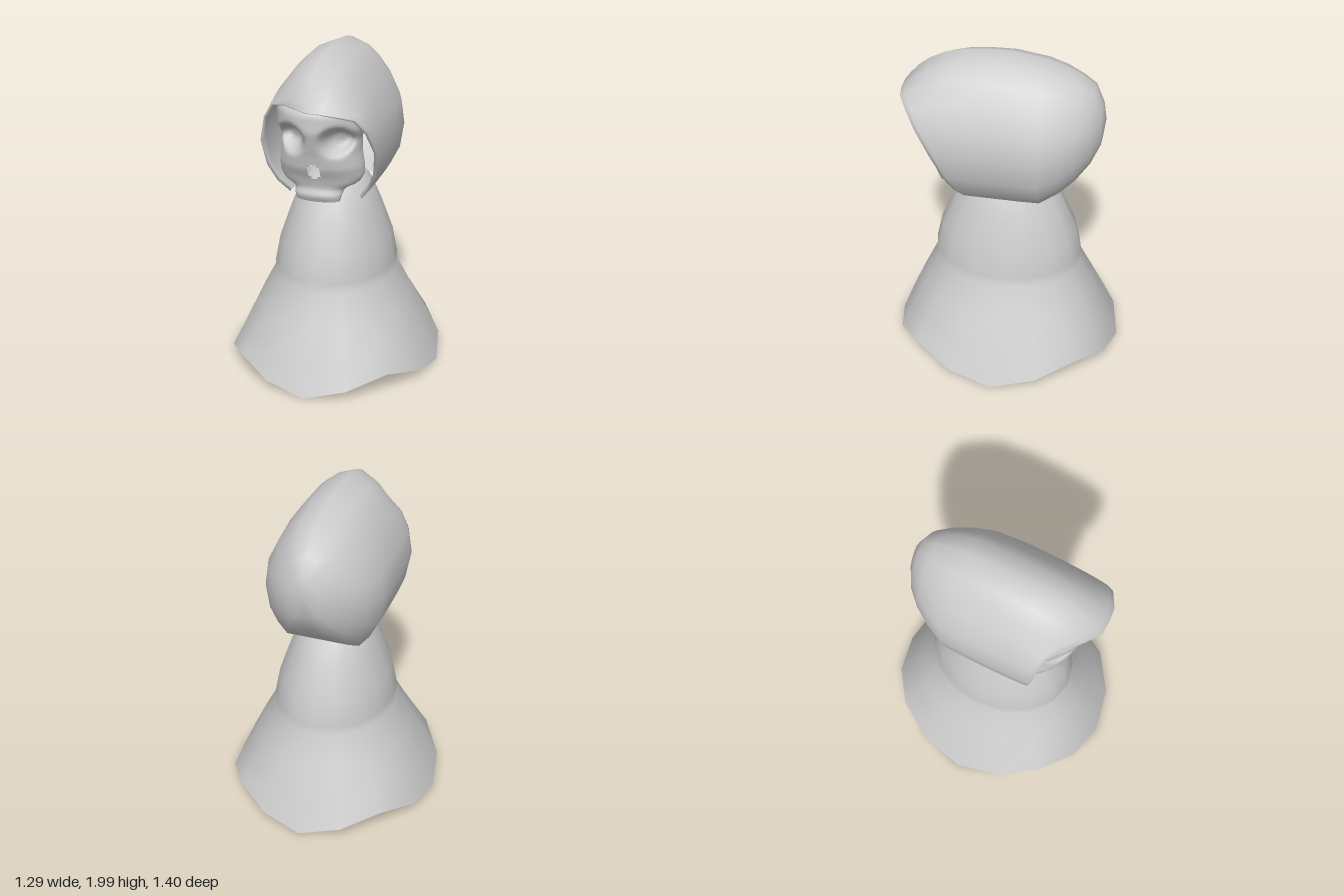
import * as THREE from 'three';
import { mergeVertices } from 'three/addons/utils/BufferGeometryUtils.js';

const lerp = THREE.MathUtils.lerp;

// Skins a grid of points; rows run across the columns, skip(row, column) leaves openings.
function skin(name, rows, closed, skip = () => false) {
  const n = rows[0].length, index = [];
  for (let i = 0; i < rows.length - 1; i++) {
    for (let j = 0; j < (closed ? n : n - 1); j++) {
      if (skip(i, j)) continue;
      const a = i * n + j, b = i * n + (j + 1) % n;
      index.push(a, b, b + n, a, b + n, a + n);
    }
  }
  let geo = new THREE.BufferGeometry();
  geo.setAttribute('position', new THREE.Float32BufferAttribute(rows.flat(2), 3));
  geo.setIndex(index);
  geo = mergeVertices(geo, 1e-4);
  geo.computeVertexNormals();
  const mesh = new THREE.Mesh(geo, new THREE.MeshStandardMaterial({ color: 0xcccccc, side: THREE.DoubleSide }));
  mesh.name = name;
  return mesh;
}

// Reads a table of [key, ...values] at any key.
function sample(table, key) {
  let k = 0;
  while (k < table.length - 2 && table[k + 1][0] < key) k++;
  const f = (key - table[k][0]) / (table[k + 1][0] - table[k][0]);
  return table[k].map((v, c) => lerp(v, table[k + 1][c], f));
}

// Sixteen-sided robe with a scalloped hem and a step at the waist
function makeRobe() {
  const profile = [ // y, half width, half depth
    [0.005, 0.645, 0.70], [0.2, 0.56, 0.625], [0.4, 0.465, 0.54], [0.58, 0.37, 0.455],
    [0.64, 0.365, 0.455], [0.8, 0.335, 0.42], [1.0, 0.265, 0.335], [1.14, 0.21, 0.25],
    [1.21, 0.15, 0.18], [1.24, 0, 0]];
  const rows = profile.map(([y, rx, rz], i) => Array.from({ length: 16 }, (_, j) => {
    const a = j * Math.PI / 8;
    const scallop = [0, 0.055, 0.125, 0.055][j % 4] * [1, 0.5, 0.1][i] || 0;
    return [rx * Math.sin(a), y + scallop, rz * Math.cos(a)];
  }));
  return skin('robe', rows, true);
}

// Hood: rings grow from the back pole, then an arch runs forward to a slanted rim
function makeHood() {
  const arch = [ // body x, y, rim x, y, z on the left, z on the right
    [0, 2.0, 0, 1.75, 0.615, 0.615], [0.12, 1.95, 0.09, 1.748, 0.615, 0.55],
    [0.195, 1.88, 0.17, 1.74, 0.605, 0.475], [0.275, 1.77, 0.27, 1.71, 0.55, 0.40],
    [0.345, 1.62, 0.325, 1.62, 0.49, 0.375], [0.365, 1.47, 0.355, 1.47, 0.40, 0.355],
    [0.34, 1.31, 0.33, 1.31, 0.33, 0.32], [0.285, 1.2, 0.28, 1.2, 0.28, 0.28],
    [0.22, 1.12, 0.22, 1.12, 0.23, 0.23]];
  const left = arch.map(([x, y, rx, ry, z]) => [x, y, rx, ry, z]);
  const right = arch.map(([x, y, rx, ry, , z]) => [-x, y, -rx, ry, z]);
  const floor = [-0.08, 0.08].map(x => [x, 1.12, x, 1.12, -0.2]);
  const columns = [...left.reverse(), ...right.slice(1), ...floor];
  const back = [ // z, width factor, top, bottom
    [-0.57, 0, 1.62, 1.62], [-0.55, 0.25, 1.73, 1.47], [-0.5, 0.5, 1.84, 1.37],
    [-0.42, 0.71, 1.89, 1.27], [-0.33, 0.86, 1.935, 1.19], [-0.22, 0.98, 1.97, 1.12]];
  const rows = back.map(([z, w, top, bottom]) => columns.map(([x, y]) =>
    [x * w, lerp(bottom, top, (y - 1.12) / 0.88), z]));
  // Outer arch, then the lining turned back inside the rim
  const steps = [[0.25, 1], [0.45, 1], [0.6, 1], [0.72, 1], [0.82, 1], [0.9, 1], [0.96, 1], [1, 1],
    [0.995, 0.95], [0.9, 0.95], [0.75, 0.95], [0.5, 0.95], [0.2, 0.95]];
  for (const [t, inset] of steps) {
    rows.push(columns.map(([x, y, rx, ry, rz]) => {
      const f = t ** 5;
      return [lerp(x, rx, f) * inset, 1.5 + (lerp(y, ry, f) - 1.5) * inset, lerp(-0.22, rz, t)];
    }));
  }
  return skin('hood', rows, true, (i, j) => i >= back.length - 1 && j >= 16);
}

// Skull mask with sunken eye sockets and an open nose
function makeSkull() {
  const table = [ // y, half width, front z, depth
    [1.15, 0.13, 0.42, 0.05], [1.19, 0.14, 0.44, 0.07], [1.225, 0.15, 0.42, 0.09],
    [1.255, 0.225, 0.425, 0.13], [1.3, 0.25, 0.44, 0.16], [1.36, 0.25, 0.47, 0.18],
    [1.45, 0.235, 0.49, 0.2], [1.53, 0.235, 0.515, 0.22], [1.6, 0.262, 0.535, 0.26],
    [1.7, 0.27, 0.53, 0.28], [1.78, 0.23, 0.46, 0.24], [1.84, 0.11, 0.32, 0.12]];
  const rowCount = 42, columnCount = 48, rows = [];
  for (let i = 0; i <= rowCount; i++) {
    const [y, w, front, depth] = sample(table, lerp(1.15, 1.84, i / rowCount));
    const row = [];
    for (let j = 0; j <= columnCount; j++) {
      const a = lerp(-1.75, 1.75, j / columnCount);
      const x = w * Math.sin(a);
      const r2 = ((Math.abs(x) - 0.135) / 0.075) ** 2 + ((y - 1.54) / 0.075) ** 2;
      const socket = Math.cos(a) > 0 ? 0.12 * Math.exp(-r2 * r2) : 0;
      row.push([x, y, front - depth * (1 - Math.cos(a)) - socket]);
    }
    rows.push(row);
  }
  const noseHole = (i, j) => {
    const [x, y] = rows[i][j], x2 = rows[i][j + 1][0];
    const mid = (x + x2) / 2;
    return rows[i][j][2] > 0.4 && (mid / 0.036) ** 2 + ((y - 1.34) / 0.055) ** 2 < 1;
  };
  return skin('skull', rows, false, noseHole);
}

export function createModel() {
  const model = new THREE.Group();
  model.name = 'hoodedSkullFigure';
  model.add(makeRobe(), makeHood(), makeSkull());
  return model;
}
